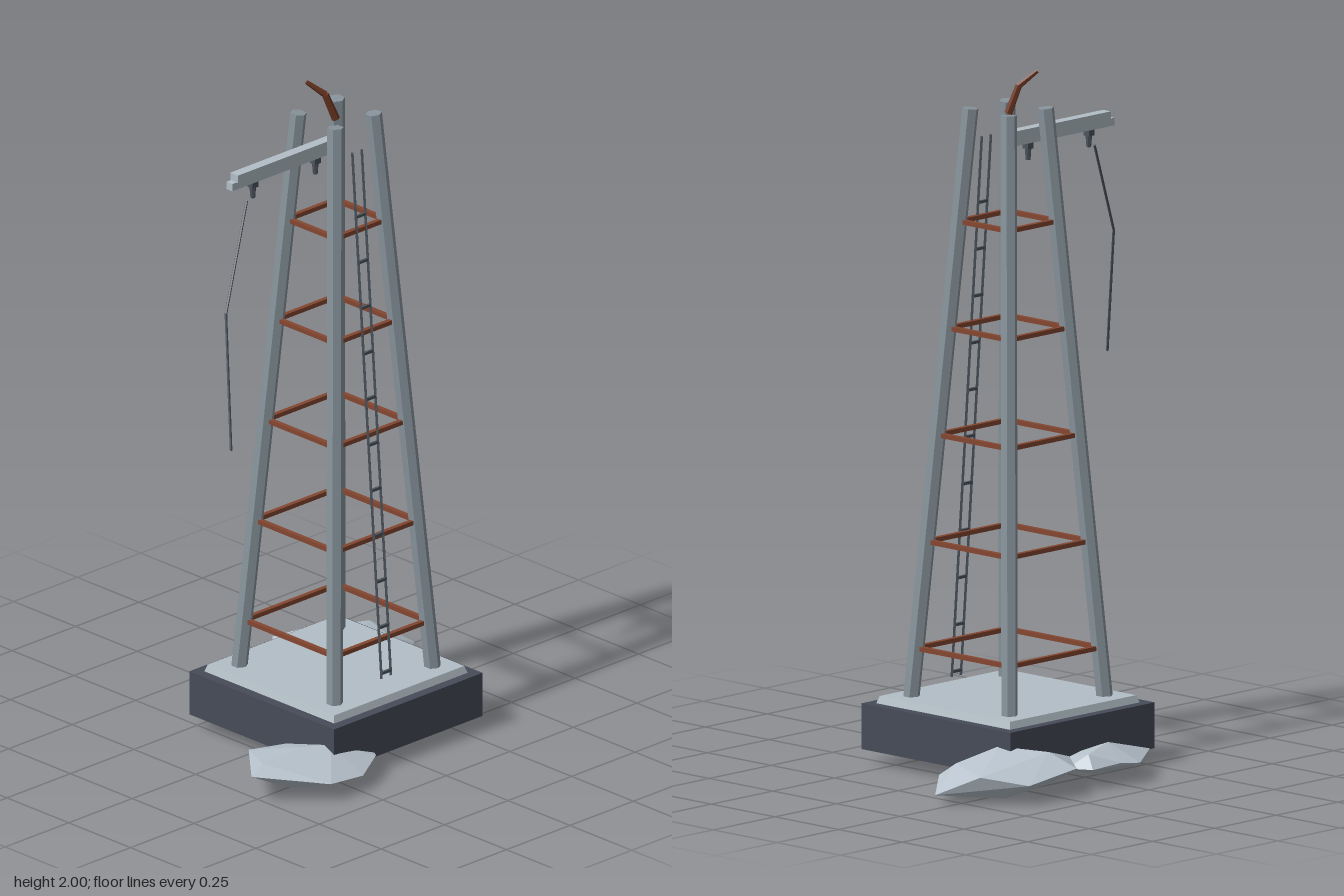
import * as THREE from 'three';
import { ConvexGeometry } from 'three/addons/geometries/ConvexGeometry.js';

const mat = (name, color) => {
  const m = new THREE.MeshStandardMaterial({ color, flatShading: true });
  m.name = name;
  return m;
};
const V = (x, y, z) => new THREE.Vector3(x, y, z);

export function createModel() {
  const darkStone = mat('dark stone', 0x474b58);
  const paleMetal = mat('pale metal', 0xb2bec6);
  const steel = mat('steel grey', 0x87939b);
  const rust = mat('rust', 0x84462f);
  const darkRust = mat('dark rust', 0x6a3520);
  const iron = mat('dark iron', 0x4c545d);
  const rock = mat('pale rock', 0xb8c3cd);

  const model = new THREE.Group();
  model.name = 'derrickTower';
  const tower = new THREE.Group(); // tower axis sits slightly off the origin
  tower.name = 'tower';
  tower.position.set(0.0125, 0, 0.041);
  model.add(tower);

  const add = (parent, name, geo, material) => {
    const mesh = new THREE.Mesh(geo, material);
    mesh.name = name;
    parent.add(mesh);
    return mesh;
  };
  const box = (parent, name, material, w, h, d, x, y, z) => {
    const mesh = add(parent, name, new THREE.BoxGeometry(w, h, d), material);
    mesh.position.set(x, y, z);
    return mesh;
  };
  // Tapering rod from a to b
  const rod = (parent, name, material, a, b, ra, rb, sides) => {
    const dir = b.clone().sub(a);
    const mesh = add(parent, name, new THREE.CylinderGeometry(rb, ra, dir.length(), sides), material);
    mesh.position.copy(a).add(b).multiplyScalar(0.5);
    mesh.quaternion.setFromUnitVectors(V(0, 1, 0), dir.normalize());
    return mesh;
  };

  // Base block and bevelled deck
  box(tower, 'baseBlock', darkStone, 0.585, 0.132, 0.585, 0, 0.111, 0);
  const deckGeo = new THREE.CylinderGeometry(0.512 / Math.SQRT2, 0.526 / Math.SQRT2, 0.022, 4);
  deckGeo.rotateY(Math.PI / 4);
  add(tower, 'deck', deckGeo, paleMetal).position.y = 0.187;

  // Leaning legs
  const legOffset = (y) => 0.193 - (0.118 * (y - 0.19)) / 1.705;
  for (const sx of [-1, 1]) for (const sz of [-1, 1]) {
    const lo = legOffset(0.19), hi = legOffset(1.892);
    rod(tower, 'leg', steel, V(sx * lo, 0.19, sz * lo), V(sx * hi, 1.892, sz * hi), 0.024, 0.024, 6);
  }

  // Square rings of cross braces
  for (let i = 0; i < 5; i++) {
    const y = 0.336 + i * 0.3075, o = legOffset(y);
    for (const s of [-1, 1]) {
      box(tower, 'brace', rust, 2 * o, 0.013, 0.014, 0, y, s * o);
      box(tower, 'brace', rust, 0.014, 0.013, 2 * o, s * o, y, 0);
    }
  }

  // Ladder leaning along the front
  const ladder = new THREE.Group();
  ladder.name = 'ladder';
  tower.add(ladder);
  const ladderZ = (y) => 0.203 - (0.118 * (y - 0.225)) / 1.575;
  for (const s of [-1, 1]) {
    rod(ladder, 'ladderRail', iron, V(s * 0.0185, 0.225, ladderZ(0.225)), V(s * 0.0185, 1.8, ladderZ(1.8)), 0.005, 0.005, 4);
  }
  for (let i = 0; i < 11; i++) {
    const y = 0.24 + i * 0.1368;
    box(ladder, 'ladderRung', iron, 0.037, 0.008, 0.008, 0, y, ladderZ(y));
  }

  // Boom with a wider top flange, and two hanging hooks
  box(model, 'boomBeam', paleMetal, 0.433, 0.022, 0.024, -0.192, 1.791, 0.042);
  box(model, 'boomFlange', paleMetal, 0.395, 0.023, 0.031, -0.192, 1.812, 0.042);
  for (const x of [-0.316, -0.07]) {
    box(model, 'hookBlock', iron, 0.022, 0.018, 0.022, x, 1.772, 0.042);
    rod(model, 'hook', iron, V(x, 1.73, 0.042), V(x, 1.766, 0.042), 0.007, 0.01, 6);
  }

  // Loose cable
  const cable = [V(-0.345, 1.73, 0.047), V(-0.5, 1.452, 0.122), V(-0.567, 1.08, 0.212)];
  for (let i = 0; i < 2; i++) rod(model, 'cable', iron, cable[i], cable[i + 1], 0.004, 0.004, 5);

  // Bent broken spike at the top
  const spike = [V(0.01, 1.875, 0.043), V(-0.017, 1.953, 0.028), V(-0.06, 1.994, -0.004)];
  rod(model, 'spikeLower', darkRust, spike[0], spike[1], 0.012, 0.01, 6);
  rod(model, 'spikeUpper', darkRust, spike[1], spike[2], 0.01, 0.006, 6);

  // Faceted rocks around the base
  const rocks = {
    backLeftRock: [
      [0.212, 0.085, -0.422], [0.394, 0.06, -0.412], [0.492, 0.085, -0.315], [0.565, 0.03, -0.208],
      [0.458, 0.06, -0.12], [0.33, 0.055, -0.06], [0.07, 0.075, -0.255], [0.24, 0.125, -0.34],
      [0.3, 0.13, -0.2], [0.43, 0.095, -0.16], [0.3, 0.003, -0.22], [0.4, 0.012, -0.32], [0.2, 0.02, -0.3]],
    frontRightRock: [
      [-0.543, 0.09, 0.27], [-0.379, 0.07, 0.09], [-0.28, 0.075, 0.14], [-0.123, 0.06, 0.336],
      [-0.14, 0.065, 0.36], [-0.245, 0.05, 0.415], [-0.37, 0.06, 0.413], [-0.35, 0.122, 0.266],
      [-0.26, 0.116, 0.3], [-0.49, 0.112, 0.26], [-0.3, 0.015, 0.28], [-0.42, 0.03, 0.3]],
    backRock: [
      [-0.2, 0.065, -0.31], [-0.056, 0.06, -0.412], [0.017, 0.07, -0.408], [0.11, 0.06, -0.387],
      [0.145, 0.06, -0.32], [-0.13, 0.07, -0.24], [0.05, 0.06, -0.2], [-0.02, 0.112, -0.32],
      [0.1, 0.1, -0.36], [0, 0.015, -0.29], [-0.1, 0.03, -0.33]],
  };
  for (const [name, pts] of Object.entries(rocks)) {
    add(model, name, new ConvexGeometry(pts.map((p) => V(...p))), rock);
  }

  return model;
}
